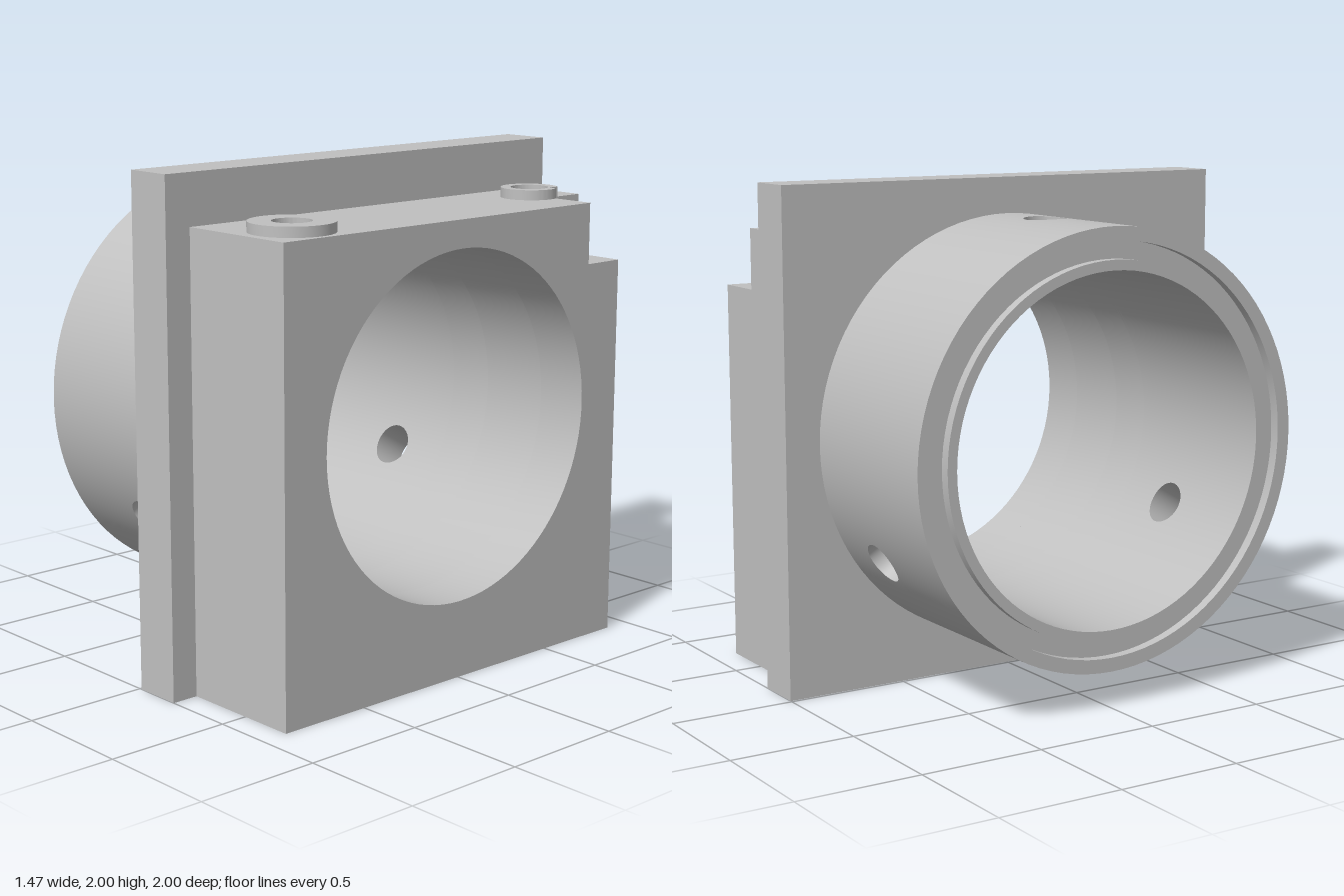
import * as THREE from 'three';
import { toCreasedNormals } from 'three/addons/utils/BufferGeometryUtils.js';
import { ParametricGeometry } from 'three/addons/geometries/ParametricGeometry.js';

const BORE = 0.69, OUTER = 0.855;      // tube radii
const TUBE_START = -0.735, TUBE_END = 0.01;
const HOLE_X = -0.27, HOLE_R = 0.087;  // radial holes in the tube
const SECTOR = Math.PI / 3;            // half of a 120 degree sector

export function createModel() {
  const model = new THREE.Group();
  const metal = new THREE.MeshStandardMaterial({ color: 0xc0c0c0, side: THREE.DoubleSide });
  metal.name = 'light grey metal';

  const add = (name, geometry, parent = model) => {
    const mesh = new THREE.Mesh(geometry, metal);
    mesh.name = name;
    parent.add(mesh);
    return mesh;
  };
  const polygon = (pts) => new THREE.Shape(pts.map(([x, y]) => new THREE.Vector2(x, y)));
  const cutCircle = (shape, x, y, r) => {
    shape.holes.push(new THREE.Path().absarc(x, y, r, 0, Math.PI * 2, true));
    return shape;
  };
  const extrude = (shape, depth) => toCreasedNormals(
    new THREE.ExtrudeGeometry(shape, { depth, bevelEnabled: false, curveSegments: 48 }), 0.5);

  // Bored plate: outline drawn in (-z, y), extruded along x
  const plate = (name, pts, x0, x1) => add(name,
    extrude(cutCircle(polygon(pts), 0, 1, BORE), x1 - x0).rotateY(Math.PI / 2).translate(x0, 0, 0));
  // Flat slab: outline drawn in (x, -z), extruded upwards
  const slab = (name, shape, y0, y1) => add(name,
    extrude(shape, y1 - y0).rotateX(-Math.PI / 2).translate(0, y0, 0));

  // Square flange and block, the block stepped at one upper corner
  plate('flange', [[-1, 0], [1, 0], [1, 2], [-1, 2]], 0.01, 0.21);
  plate('blockInner', [[-0.89, 0], [0.89, 0], [0.89, 1.72], [-0.89, 1.72]], 0.21, 0.51);
  plate('blockOuter', [[-0.89, 0], [0.89, 0], [0.89, 1.555], [0.71, 1.555], [0.71, 1.72], [-0.89, 1.72]], 0.51, 0.73);

  // Top of the block with the two blind holes
  const top = polygon([[0.21, -0.89], [0.73, -0.89], [0.73, 0.71], [0.51, 0.71], [0.51, 0.89], [0.21, 0.89]]);
  cutCircle(top, 0.545, -0.69, 0.075);
  cutCircle(top, 0.44, 0.67, 0.075);
  slab('blockTop', top, 1.72, 1.8);

  // Raised rings around the holes, the smaller one cut by the corner step
  const largeRing = new THREE.Shape().absarc(0.545, -0.69, 0.163, 0, Math.PI * 2, false);
  slab('largeBoss', cutCircle(largeRing, 0.545, -0.69, 0.075), 1.8, 1.84);
  const r = 0.115;
  const smallRing = new THREE.Shape();
  smallRing.absarc(0.44, 0.67, r, Math.acos(0.07 / r), Math.asin(0.04 / r) + Math.PI * 2, false);
  smallRing.lineTo(0.51, 0.71);
  smallRing.closePath();
  slab('smallBoss', cutCircle(smallRing, 0.44, 0.67, 0.075), 1.8, 1.84);

  // Tube: three equal sectors, each with one radial hole
  const onTube = (x, angle, radius, target) =>
    target.set(x, radius * Math.cos(angle), radius * Math.sin(angle));
  const holeEdge = (u, radius) => {
    const a = 2 * Math.PI * u - 0.75 * Math.PI;
    return [HOLE_X + HOLE_R * Math.cos(a), Math.asin(HOLE_R * Math.sin(a) / radius)];
  };
  const corners = [[TUBE_START, -SECTOR], [TUBE_END, -SECTOR], [TUBE_END, SECTOR], [TUBE_START, SECTOR]];
  const sectorEdge = (u) => {
    const side = Math.min(3, Math.floor(u * 4)), f = u * 4 - side;
    const a = corners[side], b = corners[(side + 1) % 4];
    return [a[0] + (b[0] - a[0]) * f, a[1] + (b[1] - a[1]) * f];
  };
  const wall = (radius, inward) => new ParametricGeometry((u, v, target) => {
    const w = inward ? 1 - u : u;
    const h = holeEdge(w, radius), e = sectorEdge(w);
    onTube(h[0] + (e[0] - h[0]) * v, h[1] + (e[1] - h[1]) * v, radius, target);
  }, 128, 16);
  const outerWall = wall(OUTER, false), innerWall = wall(BORE, true);
  const holeWall = new ParametricGeometry((u, v, target) => {
    const radius = BORE + (OUTER - BORE) * v;
    const [x, angle] = holeEdge(u, radius);
    onTube(x, angle, radius, target);
  }, 128, 2);

  const tube = new THREE.Group();
  tube.name = 'tube';
  tube.position.y = 1;
  model.add(tube);
  for (let i = 0; i < 3; i++) {
    const sector = new THREE.Group();
    sector.name = 'tubeSector';
    sector.rotation.x = i * 2 * SECTOR;
    add('outerWall', outerWall, sector);
    add('boreWall', innerWall, sector);
    add('radialHole', holeWall, sector);
    tube.add(sector);
  }

  // Tube end face with a ring groove
  const profile = [[BORE, 0], [0.73, 0], [0.73, 0.04], [0.8, 0.04], [0.8, 0], [OUTER, 0]]
    .map(([x, y]) => new THREE.Vector2(x, y));
  const end = toCreasedNormals(new THREE.LatheGeometry(profile, 96), 0.5);
  add('groovedEnd', end.rotateZ(-Math.PI / 2).translate(TUBE_START, 0, 0), tube);

  return model;
}
